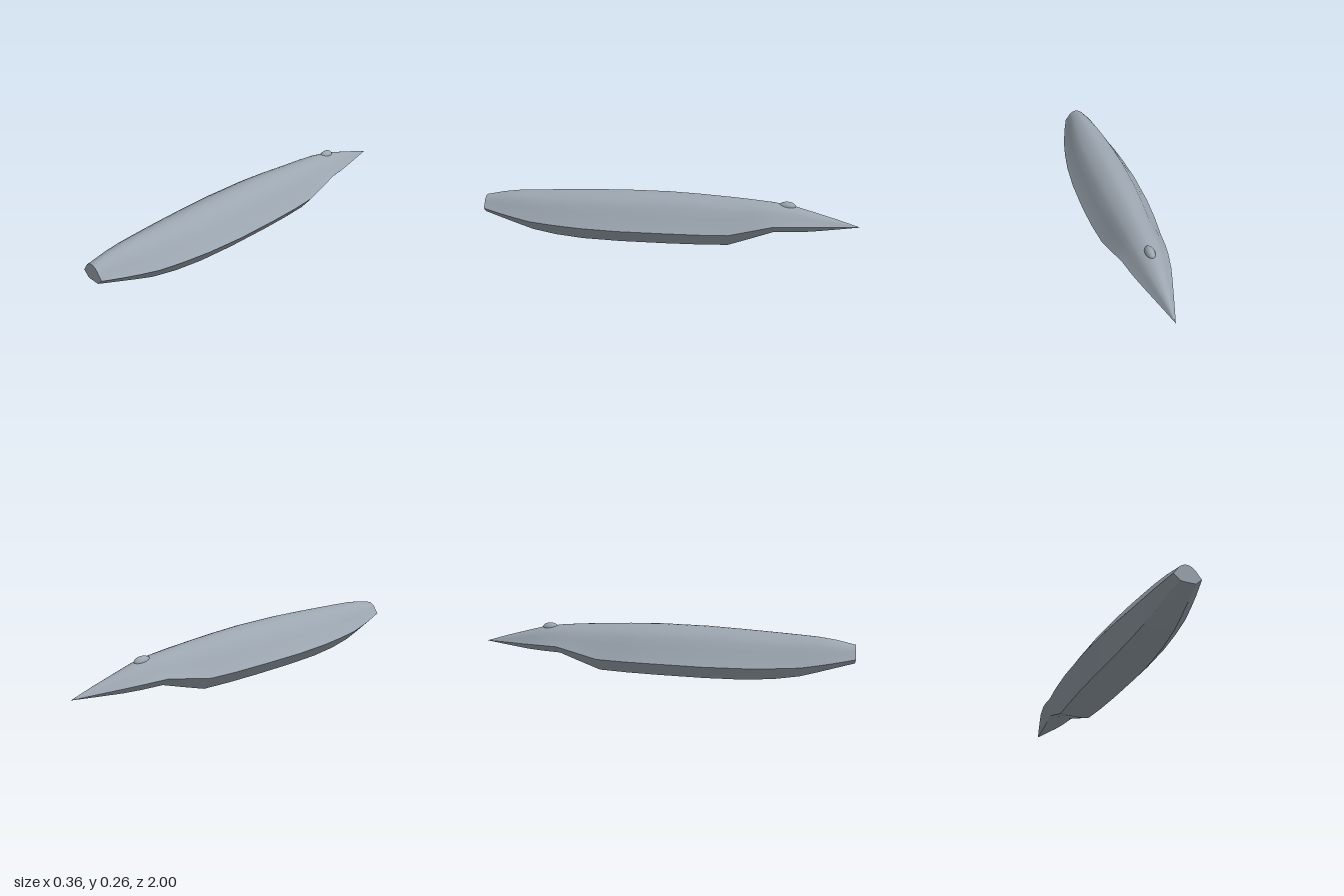
import * as THREE from 'three';

// Hull stations: z, half width, chine height, ridge height, keel height
const STATIONS = [
  [1.0, 0.068, 0.147, 0.204, 0.117],
  [0.9, 0.096, 0.131, 0.224, 0.088],
  [0.82, 0.115, 0.119, 0.234, 0.064],
  [0.73, 0.134, 0.107, 0.239, 0.038],
  [0.6, 0.154, 0.101, 0.245, 0.017],
  [0.45, 0.170, 0.096, 0.251, 0.005],
  [0.25, 0.180, 0.093, 0.258, 0.001],
  [0.0, 0.178, 0.092, 0.258, 0.0],
  [-0.17, 0.168, 0.089, 0.251, 0.0],
  [-0.32, 0.152, 0.087, 0.242, 0.002],
  [-0.45, 0.133, 0.112, 0.232, 0.045],
  [-0.55, 0.115, 0.130, 0.222, 0.079],
  [-0.66, 0.094, 0.126, 0.205, 0.080],
  [-0.75, 0.070, 0.120, 0.180, 0.083],
  [-0.88, 0.034, 0.113, 0.143, 0.094],
  [-1.0, 0.0, 0.105, 0.105, 0.105],
];

// Normalised half arch of the upper hull: fraction of width, fraction of rise
const ARCH = [[1, 0], [0.86, 0.19], [0.7, 0.46], [0.56, 0.69], [0.42, 0.83], [0.26, 0.93], [0.12, 0.985], [0, 1]];

// Mirror a half outline that ends on, or next to, the centre line
function mirror(half) {
  const other = half.map(([x, y]) => [-x, y]).reverse();
  if (half[half.length - 1][0] === 0) other.shift();
  return half.concat(other);
}

// Upper section, from -x over the ridge to +x
function upperSection([, w, chine, ridge]) {
  return mirror(ARCH.map(([t, h]) => [-t * w, chine + h * (ridge - chine)]));
}

// Lower section, from +x under the keel to -x
function lowerSection([, w, chine, , keel]) {
  const bevel = keel + 0.07 * (chine - keel);
  return mirror([[w, chine], [0.56 * w, bevel], [0.34 * w, keel]]);
}

// Skin consecutive sections with quads
function loft(section) {
  const positions = [], index = [];
  const n = section(STATIONS[0]).length;
  STATIONS.forEach((s, i) => {
    section(s).forEach(([x, y], j) => {
      positions.push(x, y, s[0]);
      if (i === STATIONS.length - 1 || j === n - 1) return;
      const a = i * n + j, c = a + n;
      // The last station is a single point, so it needs one triangle per strip
      if (i === STATIONS.length - 2) index.push(a, a + 1, c);
      else index.push(a, a + 1, c, a + 1, c + 1, c);
    });
  });
  const geometry = new THREE.BufferGeometry();
  geometry.setAttribute('position', new THREE.Float32BufferAttribute(positions, 3));
  geometry.setIndex(index);
  geometry.computeVertexNormals();
  return geometry;
}

export function createModel() {
  const group = new THREE.Group();
  const grey = new THREE.MeshStandardMaterial({ color: 0x9ca6b0 });
  grey.name = 'hullGrey';

  const add = (name, geometry) => {
    const mesh = new THREE.Mesh(geometry, grey);
    mesh.name = name;
    group.add(mesh);
    return mesh;
  };

  // Smooth arched top
  add('upperHull', loft(upperSection));

  // Faceted underside with a flat keel
  const lower = loft(lowerSection).toNonIndexed();
  lower.computeVertexNormals();
  add('lowerHull', lower);

  // Flat blunt front end
  const outline = upperSection(STATIONS[0]).concat(lowerSection(STATIONS[0]).slice(1, -1));
  const cap = new THREE.ShapeGeometry(new THREE.Shape(outline.map(([x, y]) => new THREE.Vector2(x, y))));
  add('frontCap', cap.translate(0, 0, STATIONS[0][0]));

  // Small hood on the ridge near the tail
  const hood = new THREE.SphereGeometry(1, 20, 14);
  hood.scale(0.024, 0.026, 0.045);
  add('ridgeHood', hood.translate(0, 0.204, -0.62));

  return group;
}
